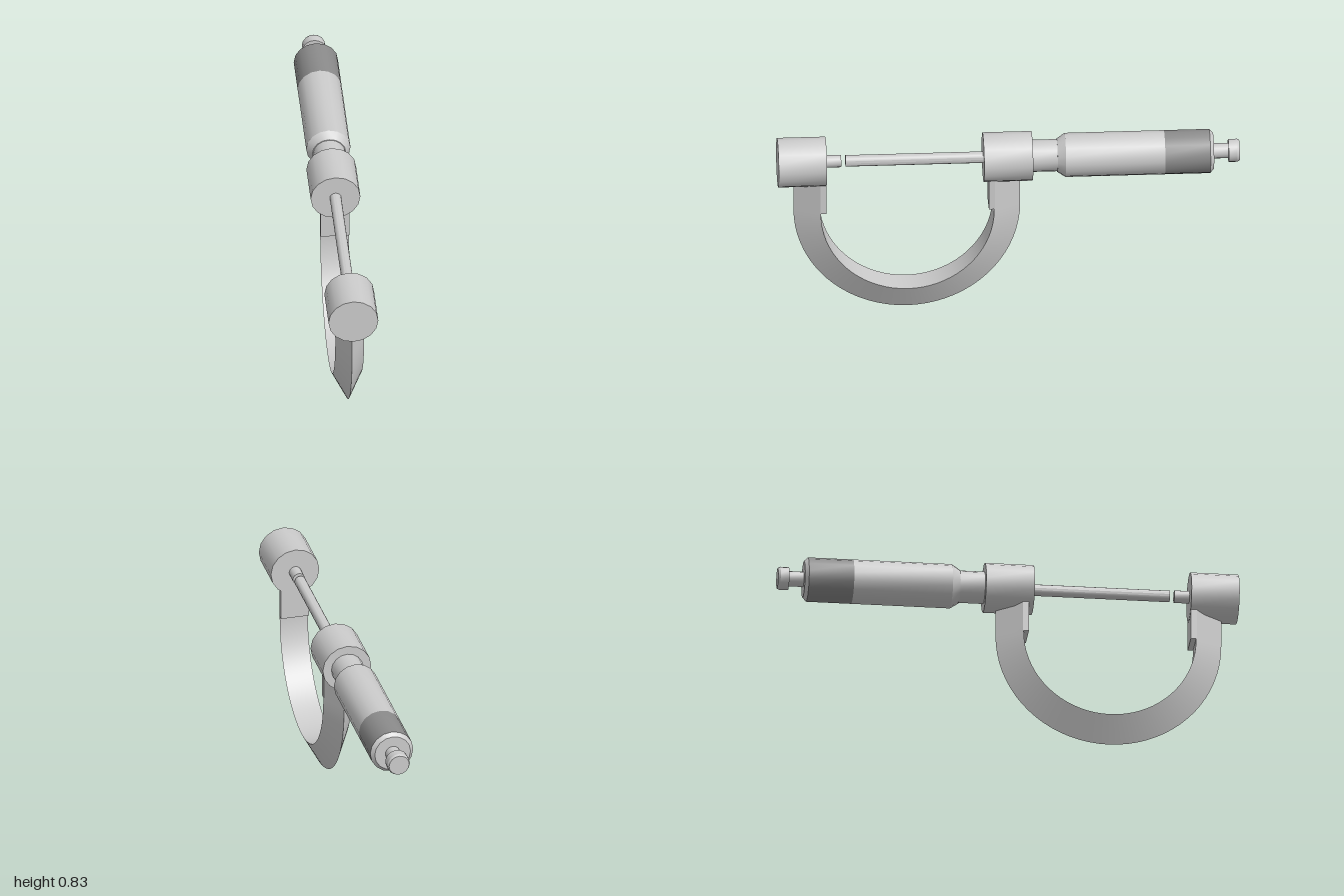
import * as THREE from 'three';
import { toCreasedNormals } from 'three/addons/utils/BufferGeometryUtils.js';

const AXIS_Y = 0.724;   // height of the measuring axis
const ARC_Y = 0.495, ARC_Z = 0.44, R_IN = 0.375, R_OUT = 0.491, HALF_W = 0.0625;

// Turned part along the z axis; profile is [z, radius] from front to back
function turned(name, profile, material, sides = 16) {
  const points = profile.map(([z, r]) => new THREE.Vector2(r, -z));
  const geometry = toCreasedNormals(new THREE.LatheGeometry(points, sides).rotateX(-Math.PI / 2), 0.45);
  const mesh = new THREE.Mesh(geometry, material);
  mesh.name = name;
  mesh.position.y = AXIS_Y;
  return mesh;
}

// Solid rod from z0 back to z1
const rod = (name, z0, z1, r, material) =>
  turned(name, [[z0, 0], [z0, r], [z1, r], [z1, 0]], material);

// U-shaped bow with a triangular section: flat inside, sharp ridge outside
function bowGeometry() {
  const section = [[HALF_W, R_IN], [0, R_OUT], [-HALF_W, R_IN]];
  const stations = [{ a: 0, up: 0.165 }];
  const steps = 36;
  for (let i = 0; i <= steps; i++) stations.push({ a: Math.PI * i / steps, up: 0 });
  stations.push({ a: Math.PI, up: 0.165 });

  const positions = [], indices = [];
  for (let side = 0; side < 3; side++) {
    const base = positions.length / 3;
    const edges = [section[side], section[(side + 1) % 3]];
    stations.forEach(({ a, up }, i) => {
      for (const [x, r] of edges) {
        positions.push(x, ARC_Y + up - r * Math.sin(a), ARC_Z + r * Math.cos(a));
      }
      if (i > 0) {
        const p = base + (i - 1) * 2;
        indices.push(p, p + 1, p + 3, p, p + 3, p + 2);
      }
    });
  }
  const geometry = new THREE.BufferGeometry();
  geometry.setAttribute('position', new THREE.Float32BufferAttribute(positions, 3));
  geometry.setIndex(indices);
  geometry.computeVertexNormals();
  return geometry;
}

export function createModel() {
  const steel = new THREE.MeshStandardMaterial({ color: 0xcccccc });
  steel.name = 'light steel';
  const grip = new THREE.MeshStandardMaterial({ color: 0x8c8c8c });
  grip.name = 'dark grip';

  const model = new THREE.Group();
  model.name = 'micrometer';

  // Bow and the flat pads at the tops of its legs
  const bow = new THREE.Mesh(bowGeometry(), steel);
  bow.name = 'bow';
  model.add(bow);
  for (const [name, side] of [['frontPad', 1], ['rearPad', -1]]) {
    const pad = new THREE.Mesh(new THREE.BoxGeometry(HALF_W * 2, 0.16, 0.026), steel);
    pad.name = name;
    pad.position.set(0, 0.58, ARC_Z + side * 0.365);
    model.add(pad);
  }

  // Barrels and measuring faces
  model.add(
    rod('frontBarrel', 1, 0.791, 0.108, steel),
    rod('rearBarrel', 0.11, -0.102, 0.108, steel),
    rod('anvil', 0.8, 0.725, 0.027, steel),
    rod('spindle', 0.706, 0.1, 0.025, steel),
    rod('sleeve', -0.09, -0.23, 0.07, steel),
  );

  // Thimble with its dark grip band and chamfered end
  model.add(
    turned('thimble', [[-0.21, 0], [-0.21, 0.073], [-0.245, 0.096], [-0.675, 0.096]], steel),
    turned('gripBand', [[-0.675, 0.096], [-0.871, 0.096]], grip),
    turned('thimbleEnd', [[-0.871, 0.096], [-0.887, 0.08], [-0.887, 0]], steel),
  );

  // Ratchet stem and knob
  model.add(
    rod('ratchetStem', -0.88, -0.96, 0.033, steel),
    turned('ratchetKnob', [[-0.952, 0], [-0.952, 0.05], [-0.99, 0.05], [-1, 0.045], [-1, 0]], steel),
  );
  return model;
}
